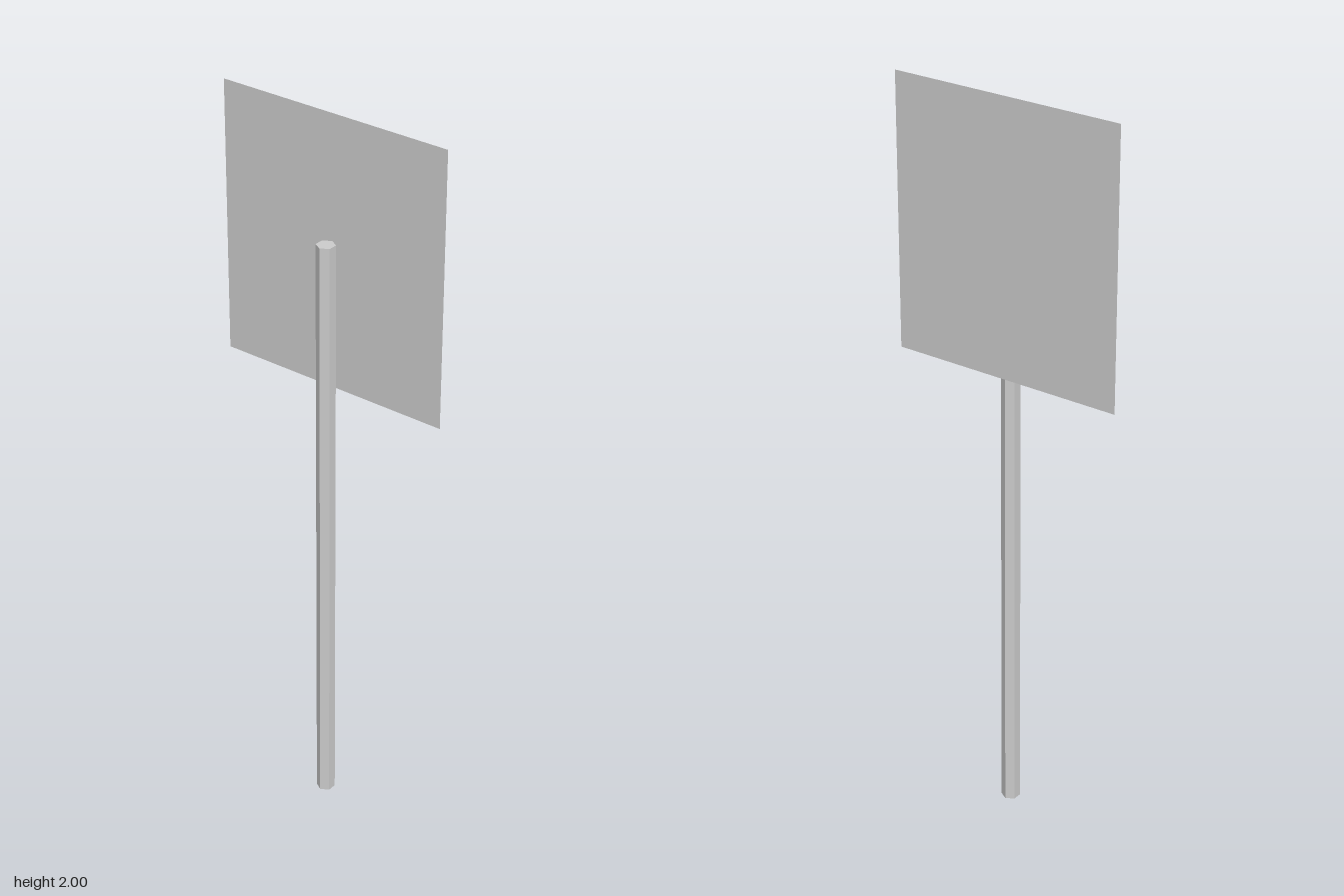
import * as THREE from 'three';

export function createModel() {
  const group = new THREE.Group();
  const postRadius = 0.025, postHeight = 1.668;
  const panelWidth = 0.664, panelBottom = 1.264, panelTop = 2;

  // Hexagonal post, with corners pointing along x
  const postGeometry = new THREE.CylinderGeometry(postRadius, postRadius, postHeight, 6);
  postGeometry.rotateY(Math.PI / 6);
  const post = new THREE.Mesh(
    postGeometry,
    new THREE.MeshStandardMaterial({ color: 0xcccccc, flatShading: true })
  );
  post.name = 'post';
  post.position.y = postHeight / 2;
  group.add(post);

  // Thin sign panel fixed to the +x side of the post
  const panel = new THREE.Mesh(
    new THREE.PlaneGeometry(panelWidth, panelTop - panelBottom),
    new THREE.MeshStandardMaterial({ color: 0xcccccc, side: THREE.DoubleSide })
  );
  panel.name = 'signPanel';
  panel.rotation.y = Math.PI / 2;
  panel.position.set(postRadius, (panelTop + panelBottom) / 2, 0);
  group.add(panel);

  return group;
}
